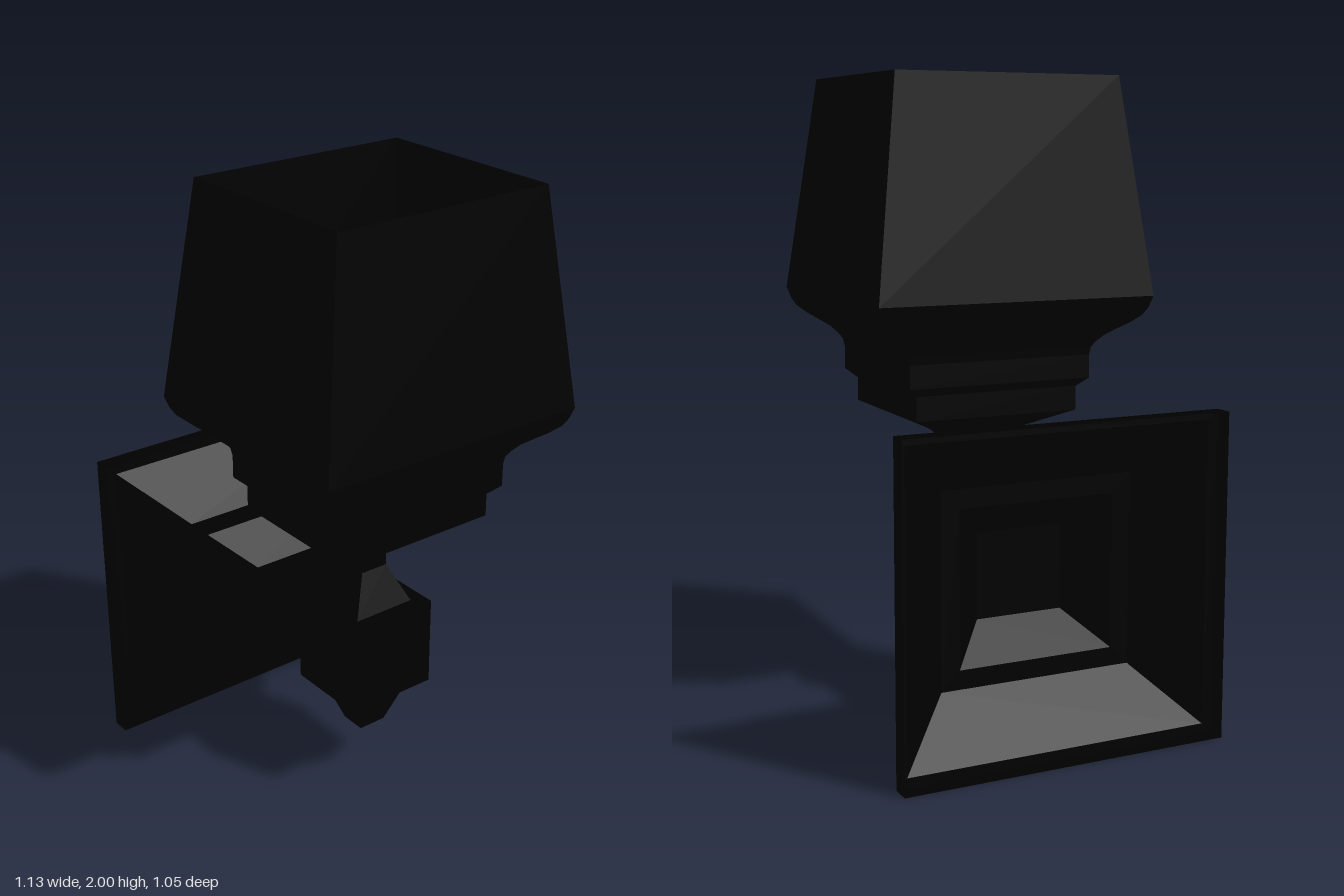
import * as THREE from 'three';

const material = new THREE.MeshStandardMaterial({
  color: 0x000000, flatShading: true, side: THREE.DoubleSide,
});
const CORNERS = [[1, 1], [1, -1], [-1, -1], [-1, 1]];
const CX = 0.159;    // centre line of lamp and arm end
const CY = 0.505;    // height of the arm axis
const RATIO = 1.125; // lamp is slightly deeper than wide

// Flat-faced loft through rectangles [height, halfX, halfZ]; the start may stay open
function loft(name, rings, openStart = false) {
  const pos = [];
  const pt = ([y, hx, hz], i) => {
    const [sx, sz] = CORNERS[i % 4];
    return [sx * hx, y, sz * hz];
  };
  const quad = (a, b, c, d) => pos.push(...a, ...b, ...c, ...a, ...c, ...d);
  for (let r = 0; r < rings.length - 1; r++) {
    for (let i = 0; i < 4; i++) {
      quad(pt(rings[r], i), pt(rings[r], i + 1), pt(rings[r + 1], i + 1), pt(rings[r + 1], i));
    }
  }
  const first = rings[0], last = rings[rings.length - 1];
  if (!openStart) quad(pt(first, 3), pt(first, 2), pt(first, 1), pt(first, 0));
  quad(pt(last, 0), pt(last, 1), pt(last, 2), pt(last, 3));
  const geometry = new THREE.BufferGeometry();
  geometry.setAttribute('position', new THREE.Float32BufferAttribute(pos, 3));
  geometry.computeVertexNormals();
  const mesh = new THREE.Mesh(geometry, material);
  mesh.name = name;
  return mesh;
}

const deepen = (profile) => profile.map(([y, h]) => [y, h, h * RATIO]);

export function createModel() {
  const group = new THREE.Group();
  group.name = 'wallLamp';

  // Stepped wall plate, hollow behind, lofted upward and turned to face +x
  const plate = loft('wallPlate', [
    [-0.567, 0.505, 0.525], [-0.507, 0.505, 0.525], [-0.507, 0.475, 0.492],
    [-0.35, 0.302, 0.315], [-0.35, 0.243, 0.255], [-0.23, 0.135, 0.142],
  ], true);
  plate.rotation.z = -Math.PI / 2;
  plate.position.y = CY;
  group.add(plate);

  // Horizontal arm
  const arm = new THREE.Mesh(new THREE.BoxGeometry(0.265, 0.215, 0.23), material);
  arm.name = 'arm';
  arm.position.set(-0.0975, CY + 0.003, 0);
  group.add(arm);

  // Block at the arm end with tapered neck and lower finial
  const block = loft('armBlock', deepen([
    [0.2, 0.042], [0.357, 0.095], [0.357, 0.138], [0.653, 0.138],
    [0.653, 0.095], [0.78, 0.042], [0.86, 0.042],
  ]));
  block.position.x = CX;
  group.add(block);

  // Cup below the shade
  const cup = loft('shadeCup', deepen([
    [0.842, 0.042], [0.88, 0.082], [0.963, 0.243], [1.04, 0.243],
  ]));
  cup.position.x = CX;
  group.add(cup);

  // Hollow shade: chamfered collar, curved shoulder, tapered walls, inside and floor
  const shade = loft('shade', deepen([
    [1.04, 0.245], [1.067, 0.272], [1.14, 0.272], [1.165, 0.276], [1.185, 0.288],
    [1.205, 0.305], [1.225, 0.33], [1.245, 0.357], [1.27, 0.383], [1.295, 0.396],
    [1.33, 0.406], [2, 0.328], [2, 0.324], [1.25, 0.304],
  ]));
  shade.position.x = CX + 0.002;
  group.add(shade);

  return group;
}
